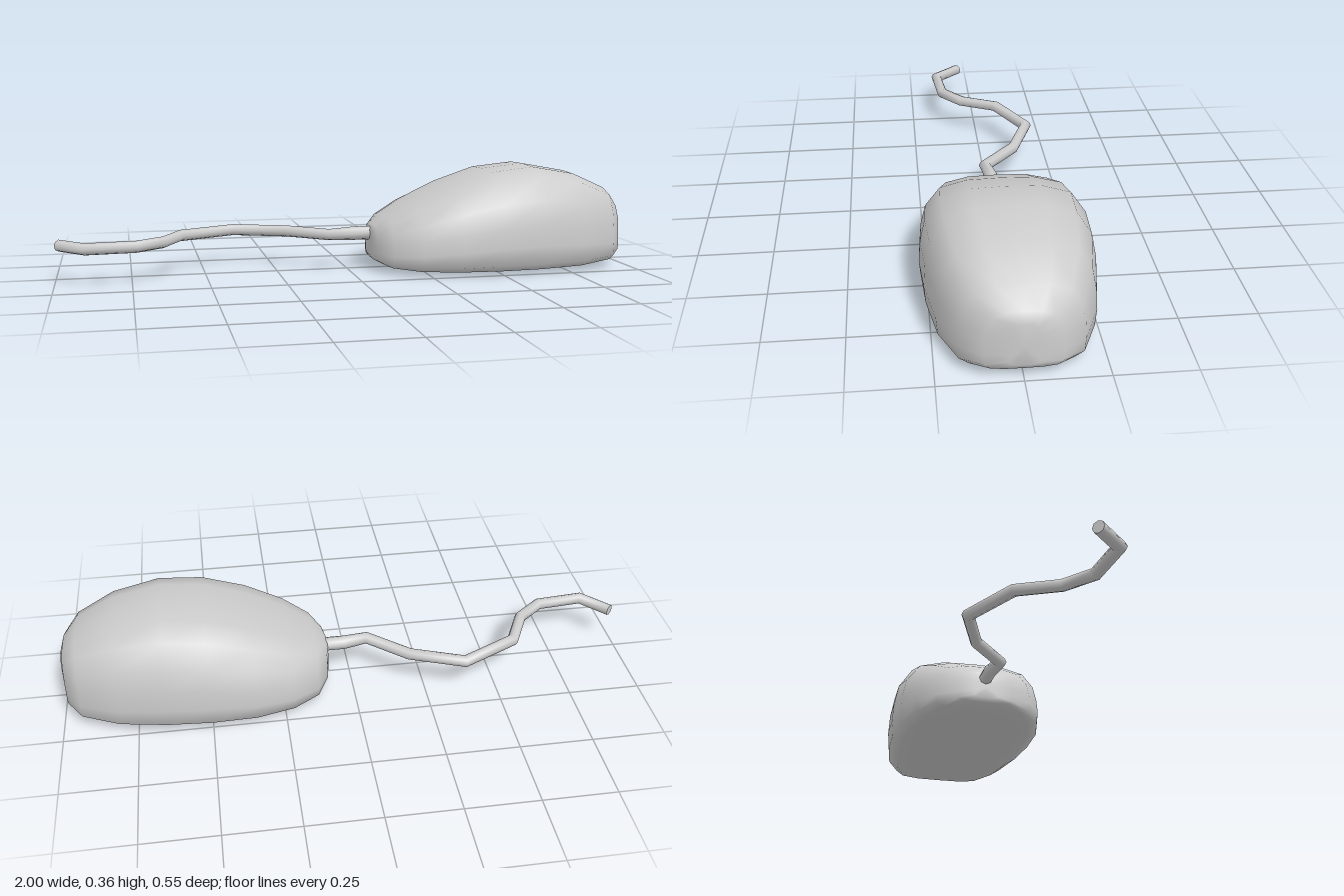
import * as THREE from 'three';

const material = new THREE.MeshStandardMaterial({ color: 0xcccccc, roughness: 0.6 });

// Skin a row of equal rings (counter-clockwise about the travel direction), closing both ends.
function loft(rings, name) {
  const n = rings[0].length, last = rings.length - 1;
  const centre = (ring) => ring.reduce((s, p) => s.add(p), new THREE.Vector3()).divideScalar(n);
  const points = [...rings.flat(), centre(rings[0]), centre(rings[last])];
  const index = [];
  for (let j = 0; j < n; j++) {
    const k = (j + 1) % n;
    for (let i = 0; i < last; i++) {
      const a = i * n + j, b = i * n + k;
      index.push(a, b, a + n, b, b + n, a + n);
    }
    index.push(points.length - 2, k, j, points.length - 1, last * n + j, last * n + k);
  }
  const geometry = new THREE.BufferGeometry().setFromPoints(points);
  geometry.setIndex(index);
  geometry.computeVertexNormals();
  const mesh = new THREE.Mesh(geometry, material);
  mesh.name = name;
  return mesh;
}

// Rounded shell: one half profile, scaled to each station along x.
function createBody() {
  // [share of half width, share of height], top to bottom
  const half = [[0, 1], [0.41, 0.99], [0.74, 0.91], [0.92, 0.7], [0.98, 0.475],
    [1, 0.27], [0.98, 0.1], [0.83, 0.03], [0.48, 0.003], [0, 0]];
  const profile = [...half, ...half.slice(1, -1).reverse().map(([w, h]) => [-w, h])];
  // [x, half width, bottom, top]
  const stations = [
    [0.08, 0.045, 0.05, 0.142], [0.09, 0.1, 0.036, 0.158], [0.13, 0.175, 0.018, 0.19],
    [0.22, 0.23, 0.008, 0.24], [0.35, 0.265, 0.004, 0.298], [0.5, 0.273, 0.002, 0.348],
    [0.65, 0.264, 0.002, 0.364], [0.81, 0.236, 0.006, 0.335], [0.935, 0.183, 0.018, 0.28],
    [0.985, 0.115, 0.036, 0.226], [0.997, 0.045, 0.055, 0.19],
  ];
  const rings = stations.map(([x, w, low, high]) =>
    profile.map(([pw, ph]) => new THREE.Vector3(x, low + ph * (high - low), pw * w)));
  return loft(rings, 'body');
}

// Kinked cable lying level, with mitred corners and flat ends.
function createCable() {
  const path = [[0.12, -0.003], [0.02, -0.003], [-0.065, 0.012], [-0.2, -0.105], [-0.385, -0.175],
    [-0.58, -0.078], [-0.645, 0.055], [-0.735, 0.128], [-0.9, 0.143], [-0.985, 0.05]]
    .map(([x, z]) => new THREE.Vector3(x, 0.126, z));
  const up = new THREE.Vector3(0, 1, 0), sides = 8;
  const rings = path.map((p, i) => {
    const before = p.clone().sub(path[Math.max(i - 1, 0)]).normalize();
    const after = path[Math.min(i + 1, path.length - 1)].clone().sub(p).normalize();
    const along = before.clone().add(after).normalize();
    const mitre = 1 / Math.max(along.dot(before), along.dot(after));
    const side = along.clone().cross(up).multiplyScalar(mitre);
    const radius = i < 2 ? 0.024 : 0.02;
    return Array.from({ length: sides }, (_, j) => {
      const t = (j / sides) * Math.PI * 2;
      return p.clone().addScaledVector(up, radius * Math.cos(t)).addScaledVector(side, radius * Math.sin(t));
    });
  });
  // a repeated last ring keeps the cut end crisp
  rings.push(rings[rings.length - 1].map((p) => p.clone()));
  return loft(rings, 'cable');
}

export function createModel() {
  const model = new THREE.Group();
  model.name = 'computerMouse';
  model.add(createBody(), createCable());
  return model;
}
